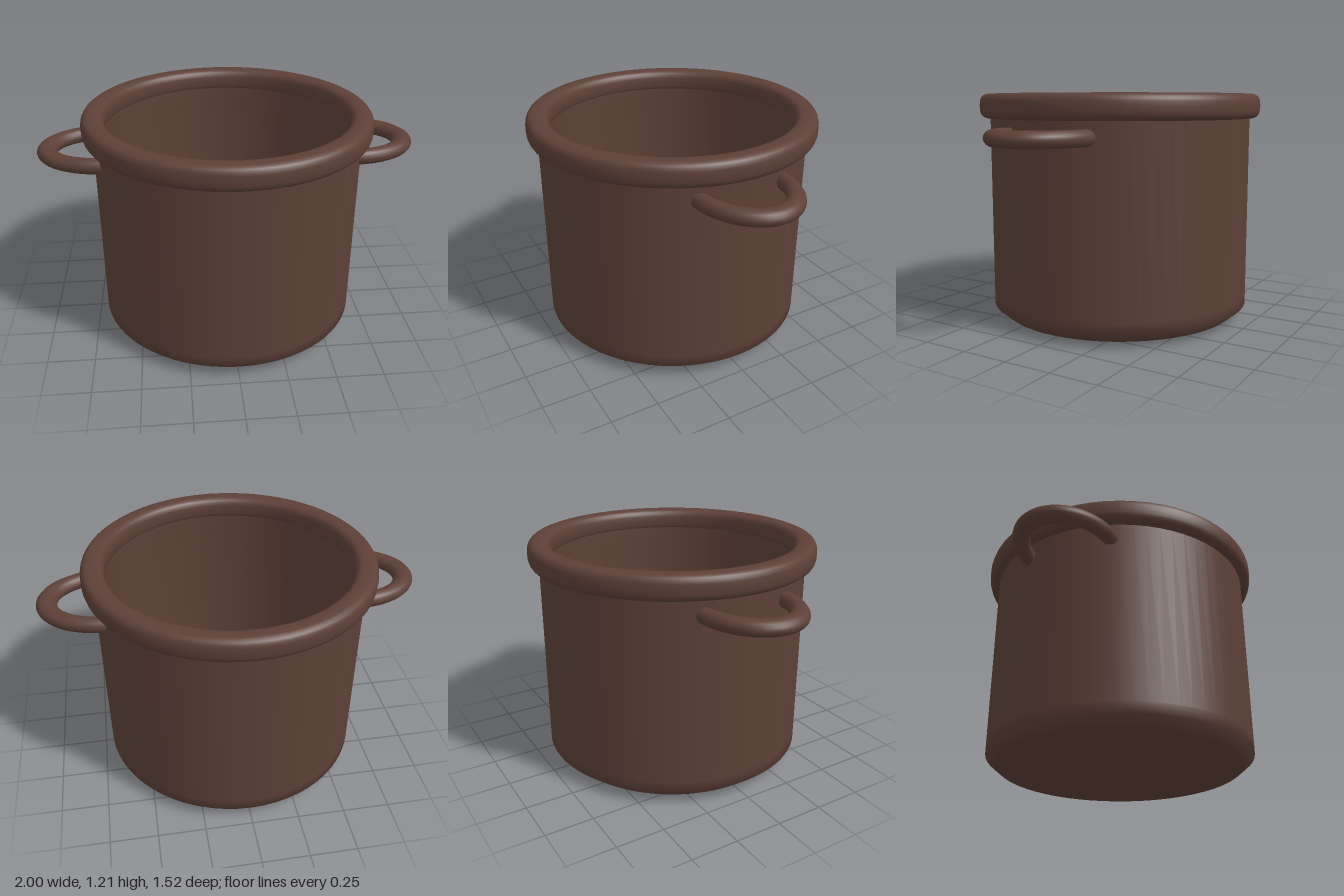
import * as THREE from 'three';

const brown = new THREE.MeshStandardMaterial({ color: 0x5d4037 });
brown.name = 'dark brown';

function addPart(group, name, geometry) {
  const mesh = new THREE.Mesh(geometry, brown);
  mesh.name = name;
  group.add(mesh);
  return mesh;
}

const toPoints = (list) => list.map(([x, y]) => new THREE.Vector2(x, y));

export function createModel() {
  const group = new THREE.Group();
  group.name = 'cookingPot';

  // Outer shell: shallow base, bevelled foot and straight wall
  addPart(group, 'potOuterWall', new THREE.LatheGeometry(toPoints([
    [0, 0], [0.45, 0.003], [0.645, 0.02], [0.705, 0.07], [0.705, 0.13], [0.705, 1.13],
  ]), 64));

  // Inside wall running softly into the floor
  addPart(group, 'potInside', new THREE.LatheGeometry(toPoints([
    [0.65, 1.14], [0.645, 1.05], [0.645, 0.17], [0.6, 0.09], [0.45, 0.065], [0, 0.06],
  ]), 64));

  // Thick rolled rim with a rounded-square section
  const section = [];
  const steps = 24;
  const soften = (v) => Math.sign(v) * Math.abs(v) ** 0.7;
  for (let i = 0; i <= steps; i++) {
    const a = -Math.PI / 2 + (i / steps) * Math.PI * 2;
    section.push([0.7 + 0.06 * soften(Math.cos(a)), 1.145 + 0.065 * soften(Math.sin(a))]);
  }
  addPart(group, 'rim', new THREE.LatheGeometry(toPoints(section), 64));

  // Two half-loop handles, stretched outwards
  for (const side of [1, -1]) {
    const loop = new THREE.TorusGeometry(0.228, 0.041, 16, 32, Math.PI);
    loop.rotateZ(-Math.PI / 2);
    loop.rotateX(Math.PI / 2);
    loop.scale(1.3, 1, 1);
    loop.translate(0.65, 1.003, 0);
    if (side < 0) loop.rotateY(Math.PI);
    addPart(group, side > 0 ? 'leftHandle' : 'rightHandle', loop);
  }

  return group;
}
